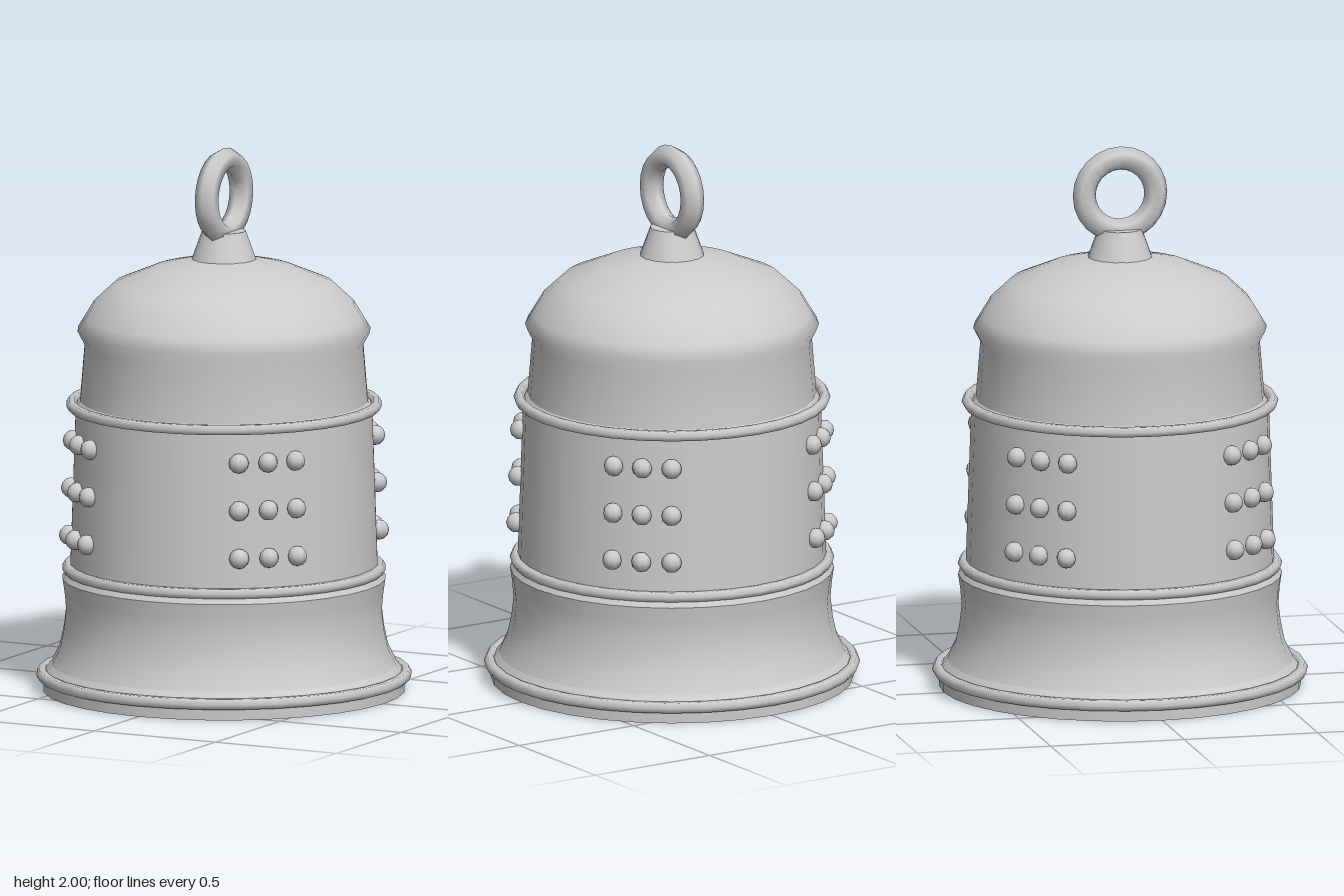
import * as THREE from 'three';

const SIDES = 32;

export function createModel() {
  const bell = new THREE.Group();
  bell.name = 'bell';
  const material = new THREE.MeshStandardMaterial({ color: 0xcccccc });

  const add = (name, geometry, parent = bell) => {
    const mesh = new THREE.Mesh(geometry, material);
    mesh.name = name;
    parent.add(mesh);
    return mesh;
  };
  const lathe = (name, profile, sides = SIDES) =>
    add(name, new THREE.LatheGeometry(profile.map(([r, y]) => new THREE.Vector2(r, y)), sides));

  // Outer shell, one lathe per section so the edges between them stay sharp
  lathe('rimSide', [[0.66, 0], [0.66, 0.06]]);
  lathe('rimTop', [[0.66, 0.06], [0.63, 0.098]]);
  lathe('skirt', [[0.63, 0.098], [0.6, 0.16], [0.585, 0.23], [0.577, 0.3], [0.582, 0.36], [0.59, 0.415]]);
  lathe('skirtShoulder', [[0.59, 0.415], [0.562, 0.46]]);
  lathe('waist', [[0.562, 0.46], [0.542, 1.05]]);
  lathe('waistShoulder', [[0.542, 1.05], [0.526, 1.07]]);
  lathe('crown', [
    [0.526, 1.07], [0.509, 1.28], [0.535, 1.33], [0.508, 1.375], [0.475, 1.43],
    [0.4, 1.5], [0.255, 1.56], [0.115, 1.592], [0, 1.6],
  ]);

  // Hollow inside
  lathe('lip', [[0.635, 0], [0.66, 0]]);
  lathe('flaredMouth', [[0.572, 0.1], [0.635, 0]]);
  lathe('innerWall', [
    [0, 1.56], [0.22, 1.53], [0.37, 1.46], [0.47, 1.33], [0.485, 1.2],
    [0.515, 1.0], [0.535, 0.45], [0.55, 0.3], [0.572, 0.1],
  ]);

  // Raised bands around the body
  for (const [name, radius, y, tube] of [
    ['rimBand', 0.663, 0.06, 0.022],
    ['lowerBand', 0.571, 0.452, 0.02],
    ['upperBand', 0.557, 1.055, 0.02],
  ]) {
    const band = add(name, new THREE.TorusGeometry(radius, tube, 6, SIDES));
    band.rotation.x = Math.PI / 2;
    band.position.y = y;
  }

  // Four panels of three by three studs
  const studGeometry = new THREE.SphereGeometry(0.037, 8, 6);
  for (let panel = 0; panel < 4; panel++) {
    const studs = new THREE.Group();
    studs.name = 'studPanel';
    studs.rotation.y = Math.PI / 4 + panel * Math.PI / 2;
    for (const [y, radius] of [[0.58, 0.567], [0.755, 0.56], [0.93, 0.553]]) {
      for (let column = -1; column <= 1; column++) {
        const angle = column * Math.PI / 16;
        const stud = add('stud', studGeometry, studs);
        stud.position.set(Math.sin(angle) * radius, y, Math.cos(angle) * radius);
        stud.rotation.y = angle;
      }
    }
    bell.add(studs);
  }

  // Hanging ring on a tapered boss
  const boss = add('boss', new THREE.CylinderGeometry(0.08, 0.118, 0.105, 16));
  boss.position.y = 1.643;
  const ring = add('hangingRing', new THREE.TorusGeometry(0.134, 0.043, 6, 24));
  ring.rotation.y = Math.PI / 2;
  ring.position.y = 1.823;

  return bell;
}
